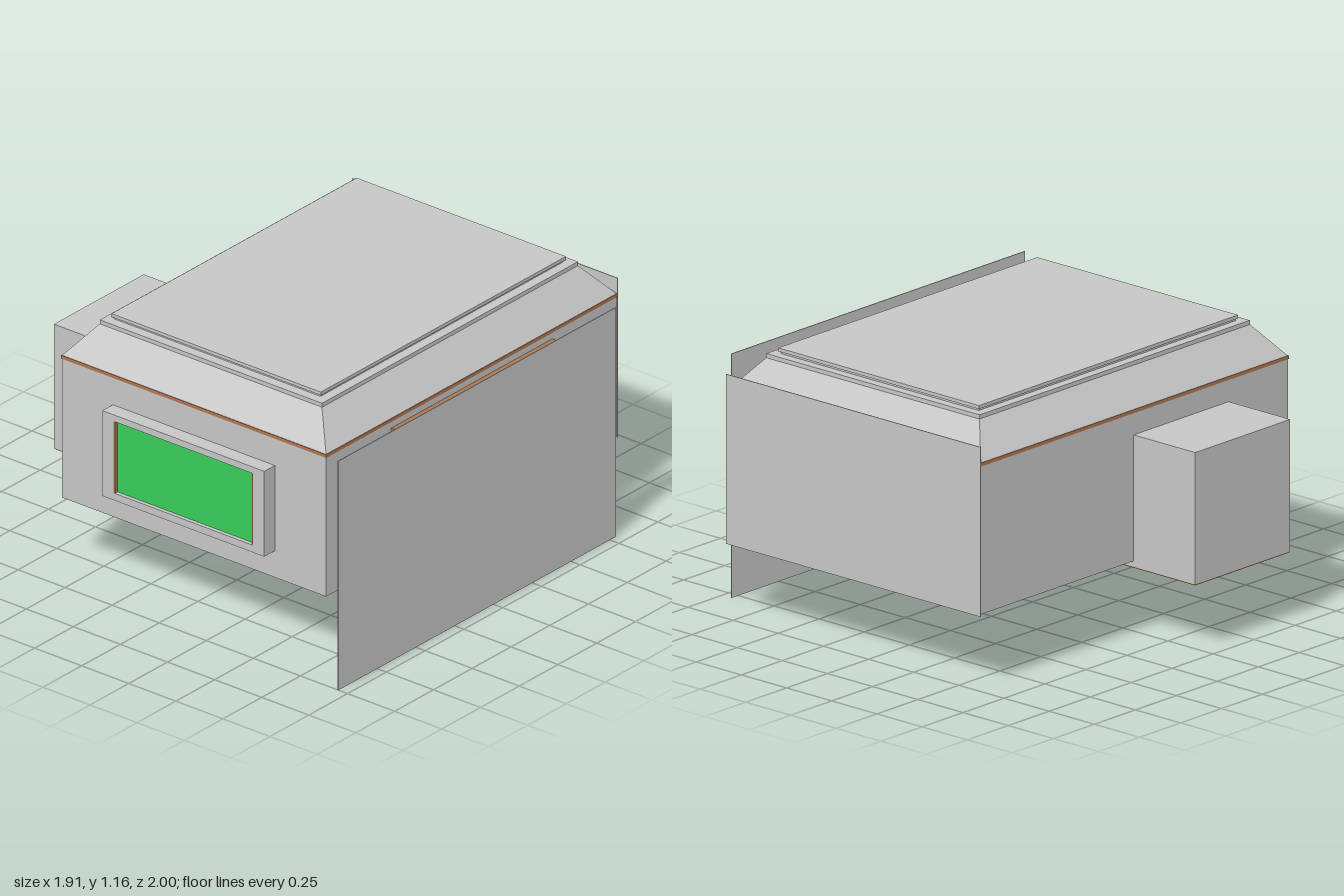
import * as THREE from 'three';

export function createModel() {
  const root = new THREE.Group();
  const material = (name, color) => {
    const m = new THREE.MeshStandardMaterial({ color });
    m.name = name;
    return m;
  };
  const grey = material('grey', 0xc6c6c6);
  const brown = material('brown', 0xb07850);
  const green = material('green', 0x38cc58);

  const add = (name, geometry, mat) => {
    const mesh = new THREE.Mesh(geometry, mat);
    mesh.name = name;
    root.add(mesh);
    return mesh;
  };

  // Box given by its limits along each axis
  const box = (name, mat, x0, x1, y0, y1, z0, z1) => {
    const g = new THREE.BoxGeometry(x1 - x0, y1 - y0, z1 - z0);
    g.translate((x0 + x1) / 2, (y0 + y1) / 2, (z0 + z1) / 2);
    return add(name, g, mat);
  };

  // Rectangular ring extruded along +z
  const rectangle = (target, x0, x1, y0, y1) => {
    target.moveTo(x0, y0);
    target.lineTo(x1, y0);
    target.lineTo(x1, y1);
    target.lineTo(x0, y1);
    target.closePath();
    return target;
  };
  const ring = (outer, inner, depth) => {
    const shape = rectangle(new THREE.Shape(), ...outer);
    shape.holes.push(rectangle(new THREE.Path(), ...inner));
    return new THREE.ExtrudeGeometry(shape, { depth, bevelEnabled: false });
  };

  // Hollow walls with a slightly recessed floor
  const walls = ring([-0.615, 0.787, -0.88, 0.993], [-0.6, 0.772, -0.865, 0.978], 0.64);
  walls.rotateX(-Math.PI / 2);
  walls.translate(0, 0.33, 0);
  add('walls', walls, grey);
  box('floor', brown, -0.601, 0.773, 0.345, 0.352, -0.979, 0.866);

  // Eaves trim
  box('eavesTrim', brown, -0.618, 0.79, 0.97, 0.985, -0.996, 0.883);

  // Hipped roof: a box whose upper corners are drawn inward
  const roof = new THREE.BoxGeometry(1, 1, 1).toNonIndexed();
  const p = roof.attributes.position;
  for (let i = 0; i < p.count; i++) {
    const top = p.getY(i) > 0;
    const x = p.getX(i) > 0 ? (top ? 0.675 : 0.787) : (top ? -0.505 : -0.615);
    const z = p.getZ(i) > 0 ? (top ? 0.77 : 0.88) : (top ? -0.88 : -0.993);
    p.setXYZ(i, x, top ? 1.122 : 0.985, z);
  }
  roof.computeVertexNormals();
  add('roofSlopes', roof, grey);

  // Stepped roof cap
  box('roofStep', grey, -0.505, 0.675, 1.122, 1.14, -0.88, 0.77);
  box('roofCapNeck', grey, -0.465, 0.63, 1.14, 1.15, -0.84, 0.725);
  box('roofCap', grey, -0.473, 0.638, 1.15, 1.165, -0.848, 0.733);

  // Free-standing side panel and rear panel
  box('sidePanel', grey, 0.948, 0.952, 0, 1.055, -0.79, 1);
  box('rearPanel', grey, -0.62, 0.79, 0.322, 1.055, -1, -0.996);

  // Side annex with a brown underside
  box('annex', grey, -0.955, -0.38, 0.305, 0.875, -0.06, 0.52);
  box('annexFloor', brown, -0.953, -0.382, 0.3, 0.305, -0.058, 0.518);

  // Front window: raised frame, pane and side reveals
  const frame = ring([-0.345, 0.515, 0.452, 0.845], [-0.285, 0.455, 0.485, 0.815], 0.07);
  frame.translate(0, 0, 0.878);
  add('windowFrame', frame, grey);
  box('windowPane', green, -0.285, 0.455, 0.485, 0.815, 0.922, 0.93);
  for (const x of [-0.285, 0.449]) {
    box('windowReveal', brown, x, x + 0.006, 0.485, 0.815, 0.928, 0.947);
  }

  // Side shutter with two upright posts
  box('shutter', brown, 0.785, 0.856, 0.36, 0.94, -0.58, 0.46);
  for (const z of [-0.29, 0.17]) {
    box('shutterPost', brown, 0.818, 0.85, 0.35, 0.95, z - 0.016, z + 0.016);
  }

  return root;
}
